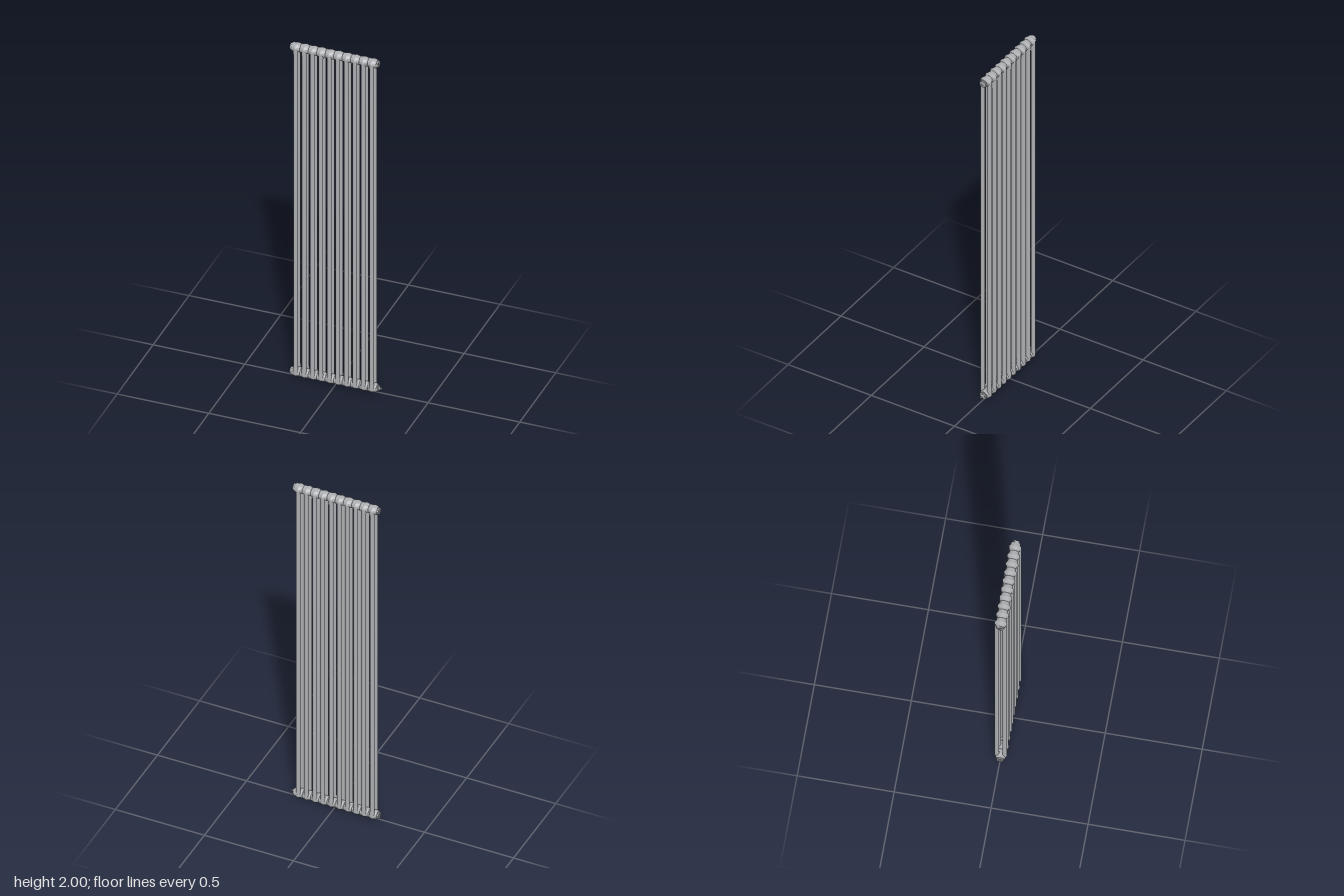
import * as THREE from 'three';
import { mergeVertices } from 'three/addons/utils/BufferGeometryUtils.js';

const COUNT = 10, PITCH = 0.0461, FIRST_X = -0.215;
const LOW_Y = 0.025, HIGH_Y = 1.975;
const TUBE_Z = 0.0202, TUBE_R = 0.0116;

// Solid of revolution along x; profile is [radius, x] pairs
function turned(profile, sides = 28) {
  const pts = profile.map(([r, x]) => new THREE.Vector2(r, x));
  return new THREE.LatheGeometry(pts, sides).rotateZ(-Math.PI / 2);
}

// Stepped turned part with crisp edges
function stepped(profile, sides = 28) {
  const g = turned(profile, sides).toNonIndexed();
  g.computeVertexNormals();
  return g;
}

// One header section: round collar that swells front and back around the tubes
function headerGeometry() {
  const h = PITCH / 2, profile = [[0.0215, -h], [0.0232, -h + 0.0012]];
  for (let i = 1; i < 16; i++) {
    const x = -h + 0.0012 + (i / 16) * (PITCH - 0.0024);
    profile.push([0.0232 + 0.0016 * Math.exp(-((x / 0.011) ** 2)), x]);
  }
  profile.push([0.0232, h - 0.0012], [0.0215, h]);
  let g = turned(profile);
  const p = g.attributes.position;
  for (let i = 0; i < p.count; i++) {
    const swell = Math.exp(-((p.getX(i) / 0.0105) ** 2));
    p.setZ(i, p.getZ(i) * (1.06 + 0.22 * swell));
  }
  g.deleteAttribute('uv');
  g.deleteAttribute('normal');
  g = mergeVertices(g, 1e-5);
  g.computeVertexNormals();
  return g;
}

// Upright tube with flared, domed ends
function tubeGeometry() {
  const half = (HIGH_Y - LOW_Y) / 2, end = [];
  end.push([TUBE_R, half - 0.055], [TUBE_R, half - 0.035], [0.0122, half - 0.02], [0.0126, half]);
  for (let i = 1; i <= 5; i++) {
    const a = (i / 5) * Math.PI / 2;
    end.push([Math.max(0.0126 * Math.cos(a), 0), half + 0.0165 * Math.sin(a)]);
  }
  const all = [...end.map(([r, y]) => [r, -y]).reverse(), ...end];
  return new THREE.LatheGeometry(all.map(([r, y]) => new THREE.Vector2(r, y)), 20);
}

// Round end plug facing +x, with a hexagonal socket
function makePlug(material) {
  const plug = new THREE.Group();
  plug.name = 'endPlug';
  const base = new THREE.Mesh(stepped([[0, -0.004], [0.0215, -0.004], [0.0215, 0.003], [0.0185, 0.003],
    [0.0185, 0.006], [0, 0.006]]), material);
  base.name = 'plugFlange';
  const ring = new THREE.Shape().absarc(0, 0, 0.0178, 0, Math.PI * 2);
  const hex = new THREE.Path();
  hex.setFromPoints(Array.from({ length: 7 }, (_, i) =>
    new THREE.Vector2(0.0095 * Math.cos(-i * Math.PI / 3), 0.0095 * Math.sin(-i * Math.PI / 3))));
  ring.holes.push(hex);
  const socket = new THREE.Mesh(new THREE.ExtrudeGeometry(ring,
    { depth: 0.004, bevelEnabled: false, curveSegments: 16 }).rotateY(Math.PI / 2), material);
  socket.position.x = 0.006;
  socket.name = 'plugSocket';
  plug.add(base, socket);
  return plug;
}

export function createModel() {
  const model = new THREE.Group();
  model.name = 'columnRadiator';
  const paint = new THREE.MeshStandardMaterial({ color: 0xacaeb1 });
  paint.name = 'greyMetal';

  // Repeated sections: two tubes joined by a header at top and bottom
  const header = headerGeometry(), tube = tubeGeometry();
  for (let i = 0; i < COUNT; i++) {
    const section = new THREE.Group();
    section.name = 'section' + (i + 1);
    section.position.x = FIRST_X + i * PITCH;
    for (const y of [LOW_Y, HIGH_Y]) {
      const m = new THREE.Mesh(header, paint);
      m.name = y === LOW_Y ? 'lowerHeader' : 'upperHeader';
      m.position.y = y;
      section.add(m);
    }
    for (const s of [1, -1]) {
      const m = new THREE.Mesh(tube, paint);
      m.name = s > 0 ? 'frontTube' : 'backTube';
      m.position.set(0, (LOW_Y + HIGH_Y) / 2, s * TUBE_Z);
      section.add(m);
    }
    model.add(section);
  }

  // End plugs on three corners
  const leftEnd = FIRST_X + (COUNT - 0.5) * PITCH, rightEnd = FIRST_X - PITCH / 2;
  for (const [x, y, turn] of [[rightEnd, LOW_Y, Math.PI], [rightEnd, HIGH_Y, Math.PI], [leftEnd, HIGH_Y, 0]]) {
    const plug = makePlug(paint);
    plug.position.set(x, y, 0);
    plug.rotation.y = turn;
    model.add(plug);
  }

  // Bleed valve on the lower left corner
  const valve = new THREE.Group();
  valve.name = 'bleedValve';
  valve.position.set(leftEnd, LOW_Y, 0);
  const body = new THREE.Mesh(stepped([[0, -0.004], [0.0215, -0.004], [0.0215, 0.003], [0.0175, 0.003],
    [0.0175, 0.007], [0.0125, 0.009], [0.0125, 0.012], [0.008, 0.015], [0.0045, 0.018], [0, 0.018]]), paint);
  body.name = 'valveBody';
  const tip = new THREE.Mesh(stepped([[0, 0.016], [0.004, 0.016], [0.004, 0.021], [0.0058, 0.021],
    [0.0058, 0.0252], [0, 0.0252]], 6), paint);
  tip.name = 'valveTip';
  valve.add(body, tip);
  model.add(valve);
  return model;
}
